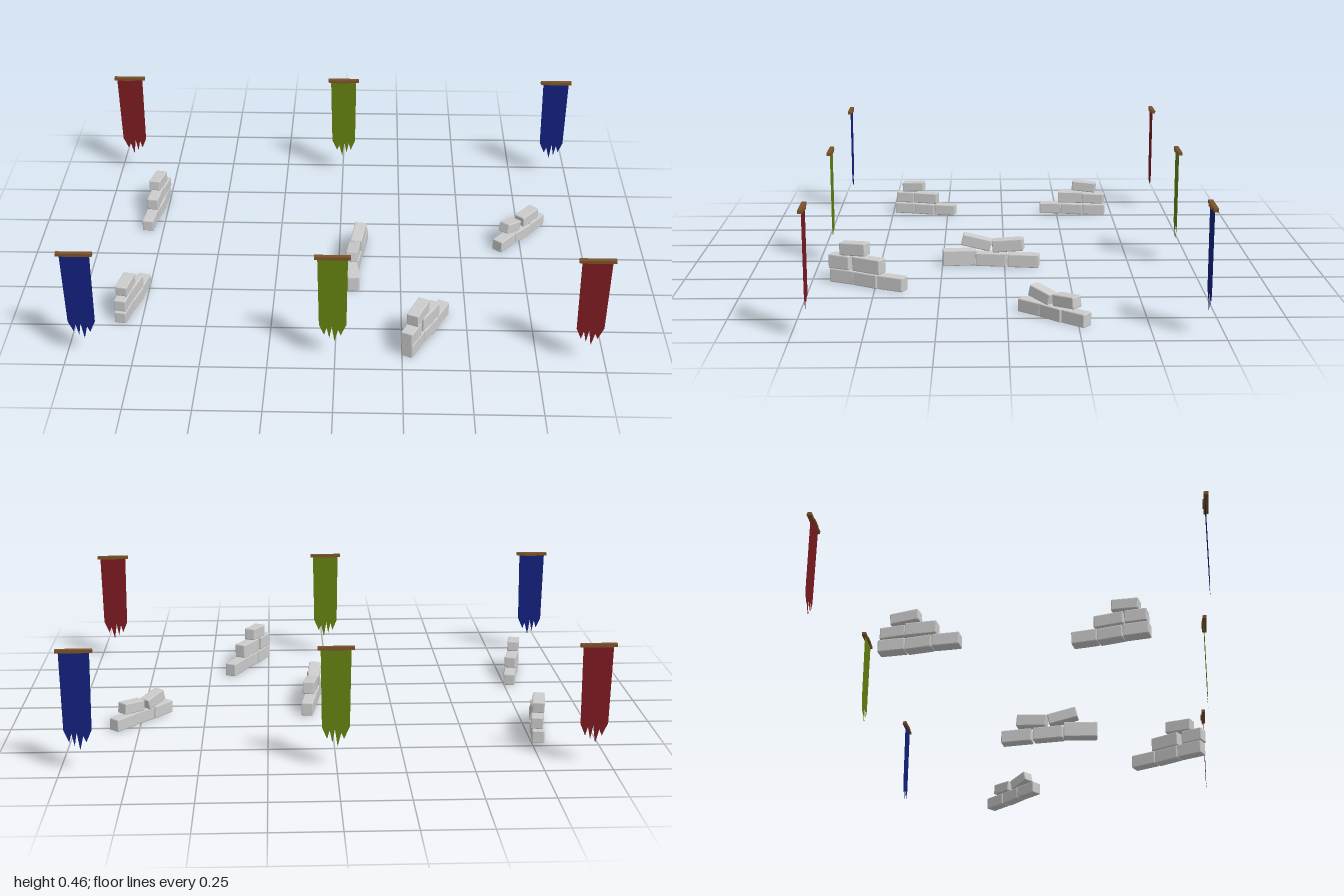
import * as THREE from 'three';
import { RoundedBoxGeometry } from 'three/addons/geometries/RoundedBoxGeometry.js';

const stone = new THREE.MeshStandardMaterial({ color: 0xcccccc, flatShading: true });
const wood = new THREE.MeshStandardMaterial({ color: 0x7a5228, flatShading: true });
const cloth = (color) => new THREE.MeshStandardMaterial({ color, side: THREE.DoubleSide });
const red = cloth(0x7a1a20), blue = cloth(0x12207c), green = cloth(0x627f10);

const BLOCK_DEPTH = 0.047;

function add(parent, name, geometry, material, x = 0, y = 0, z = 0) {
  const mesh = new THREE.Mesh(geometry, material);
  mesh.name = name;
  mesh.position.set(x, y, z);
  parent.add(mesh);
  return mesh;
}

// Ruined wall along a ground line; a block is [along, length, y, height, tilt, yaw, side]
function ruinedWall([x0, z0], [x1, z1], blocks) {
  const wall = new THREE.Group();
  wall.name = 'ruinedWall';
  wall.position.set(x0, 0, z0);
  wall.rotation.y = Math.atan2(z0 - z1, x1 - x0);
  for (const [along, length, y, height, tilt = 0, yaw = 0, side = 0] of blocks) {
    const geometry = new RoundedBoxGeometry(length, height, BLOCK_DEPTH, 1, 0.004);
    const block = add(wall, 'stoneBlock', geometry, stone, along, y, side);
    block.rotation.set(0, yaw, tilt);
  }
  return wall;
}

// Three equal blocks lying on the ground
const baseRow = (length, height) => [0, 1, 2].map((i) =>
  [(i + 0.5) * length / 3, length / 3, 0.003 + height / 2, height, 0, [0.04, -0.05, 0.03][i], [0, 0.002, -0.001][i]]);

// Banner hanging from a rod, ragged along its lower edge
function banner(x, z, material, turn) {
  const group = new THREE.Group();
  group.name = 'banner';
  group.position.set(x, 0, z);
  group.rotation.y = turn;

  add(group, 'rod', new THREE.BoxGeometry(0.132, 0.012, 0.017), wood, 0, 0.459, 0);
  add(group, 'rodBracket', new THREE.BoxGeometry(0.05, 0.009, 0.006), wood, 0.004, 0.457, -0.009);

  const outline = [
    [-0.055, 0.46], [-0.051, 0.16], [-0.032, 0.115], [-0.023, 0.148], [-0.013, 0.1], [-0.004, 0.152],
    [0.006, 0.085], [0.019, 0.138], [0.029, 0.114], [0.05, 0.162], [0.055, 0.46],
  ];
  const shape = new THREE.Shape(outline.map(([px, py]) => new THREE.Vector2(px, py)));
  add(group, 'bannerCloth', new THREE.ShapeGeometry(shape), material, 0, 0, -0.003);
  return group;
}

export function createModel() {
  const model = new THREE.Group();
  model.name = 'ruinsAndBanners';

  // Two facing rows of three banners
  for (const [x, z, material] of [
    [-0.931, 0.696, blue], [-0.007, 0.696, green], [0.934, 0.696, red],
    [-0.934, -0.696, red], [0.003, -0.696, green], [0.928, -0.696, blue],
  ]) model.add(banner(x, z, material, z > 0 ? 0 : Math.PI));

  // Stepped front wall
  model.add(ruinedWall([0.265, 0.67], [0.417, 0.385], [
    ...baseRow(0.323, 0.055),
    [0.04, 0.09, 0.086, 0.056, 0, 0.04], [0.165, 0.125, 0.088, 0.058, 0, -0.04],
    [0.1, 0.112, 0.143, 0.05, 0.06, 0.06, -0.003],
  ]));

  // Stepped right front wall
  model.add(ruinedWall([-0.832, 0.485], [-0.767, 0.215], [
    ...baseRow(0.278, 0.048),
    [0.046, 0.08, 0.078, 0.048, 0, 0.05], [0.142, 0.108, 0.078, 0.047, 0, -0.04],
    [0.083, 0.097, 0.128, 0.042, 0.06, 0.03, -0.002],
  ]));

  // Stepped right rear wall
  model.add(ruinedWall([-0.815, -0.175], [-0.772, -0.47], [
    ...baseRow(0.298, 0.048),
    [0.142, 0.115, 0.081, 0.05, 0, 0.03], [0.245, 0.096, 0.079, 0.045, 0, -0.05, 0.002],
    [0.202, 0.106, 0.132, 0.043, -0.07, -0.04, -0.002],
  ]));

  // Middle wall with two toppled blocks
  model.add(ruinedWall([0.055, 0.245], [0.09, -0.14], [
    [0.063, 0.135, 0.036, 0.064, 0, 0.18, -0.004], [0.192, 0.122, 0.031, 0.054, 0, -0.04, -0.006],
    [0.322, 0.125, 0.031, 0.054, 0, -0.05, 0.002],
    [0.133, 0.118, 0.1, 0.046, -0.22, 0.02, -0.008], [0.26, 0.124, 0.093, 0.05, 0.1, -0.06],
  ]));

  // Left wall with two toppled blocks
  model.add(ruinedWall([0.65, -0.055], [0.85, -0.28], [
    ...baseRow(0.3, 0.05),
    [0.092, 0.092, 0.082, 0.043, -0.25, 0.04, -0.005], [0.205, 0.098, 0.08, 0.044, 0.08, -0.04, -0.003],
  ]));

  return model;
}
